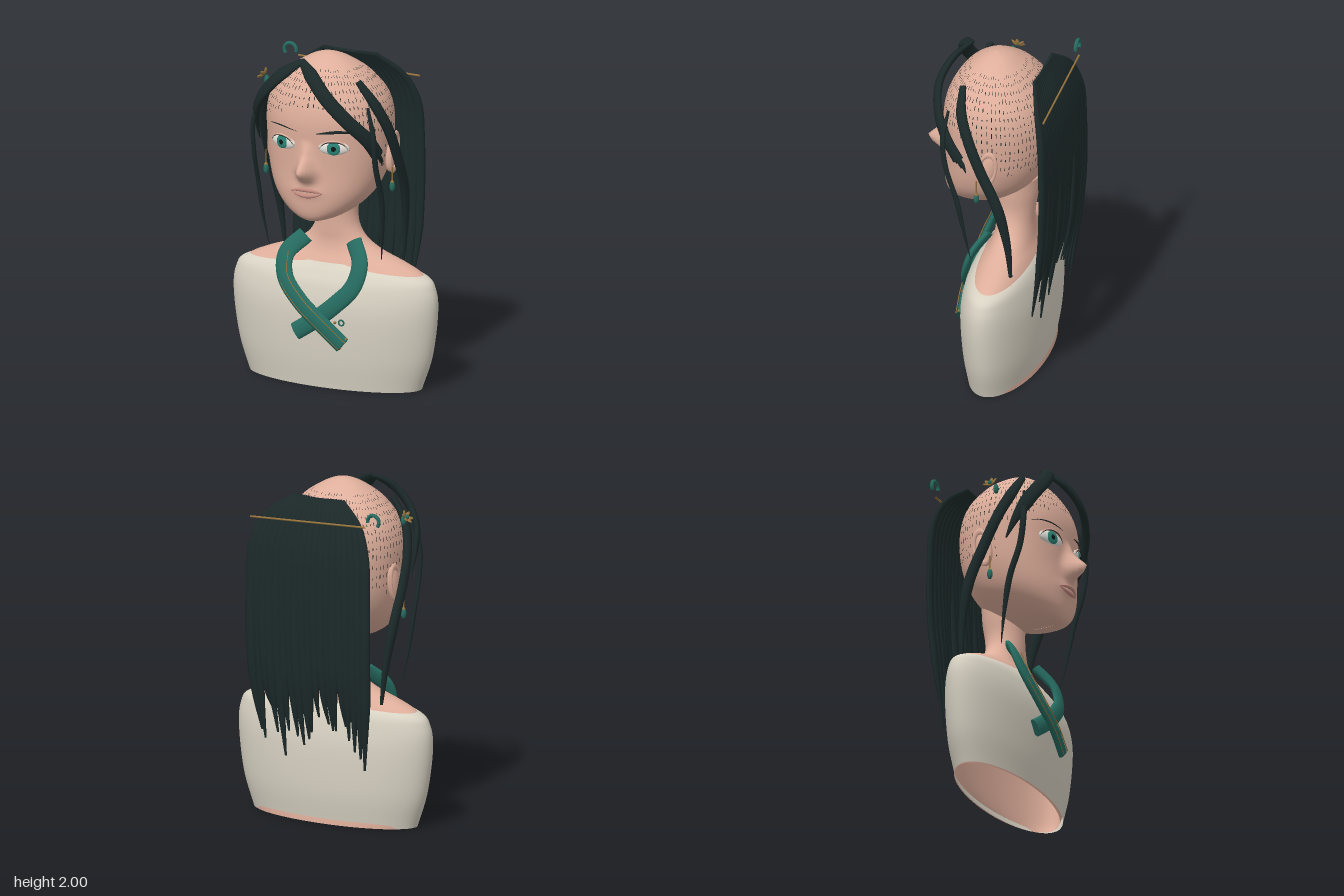
import * as THREE from 'three';

const mat = (name, color, side = THREE.FrontSide) => {
  const m = new THREE.MeshStandardMaterial({ color, side });
  m.name = name;
  return m;
};
const V = (x, y, z) => new THREE.Vector3(x, y, z);

// Closed skin over a list of equally long rings
function skinRings(rings) {
  const n = rings[0].length, pos = [], idx = [];
  rings.forEach(r => r.forEach(p => pos.push(p.x, p.y, p.z)));
  for (let i = 0; i < rings.length - 1; i++) for (let j = 0; j < n; j++) {
    const a = i * n + j, b = i * n + (j + 1) % n;
    idx.push(a, b, a + n, b, b + n, a + n);
  }
  const g = new THREE.BufferGeometry();
  g.setAttribute('position', new THREE.Float32BufferAttribute(pos, 3));
  g.setIndex(idx);
  g.computeVertexNormals();
  return g;
}

// Smooth lookup in rows of [y, half width, front z, back z]
function profile(rows) {
  const f = new THREE.CubicInterpolant(rows.map((_, i) => i), rows.flat(), 4);
  return u => Array.from(f.evaluate(u));
}
const spow = (v, e) => Math.sign(v) * Math.abs(v) ** e;
function sectionPoint([y, w, f, b], a, n, grow = 0) {
  const c = (f + b) / 2, d = (f - b) / 2;
  return V((w + grow) * spow(Math.sin(a), 2 / n), y, c + (d + grow) * spow(Math.cos(a), 2 / n));
}
function loft(rows, steps, segs, n, bump = () => 0) {
  const at = profile(rows), rings = [];
  for (let i = 0; i <= steps; i++) {
    const s = at(i / steps * (rows.length - 1)), ring = [];
    for (let j = 0; j < segs; j++) {
      const a = j / segs * Math.PI * 2, p = sectionPoint(s, a, n);
      if (Math.cos(a) > 0) p.z += bump(p.x, p.y);
      ring.push(p);
    }
    rings.push(ring);
  }
  return skinRings(rings);
}

// Elliptical lock or ribbon along a path; "out" is the direction of its flat side
const radial = p => V(p.x, (p.y - 1.5) * 0.4, p.z + 0.05);
function strand(pts, width, thick, out = radial, taper = () => 1, steps = 36, segs = 10) {
  const curve = new THREE.CatmullRomCurve3(pts), rings = [];
  const ring = (t, k) => {
    const p = curve.getPointAt(t), tan = curve.getTangentAt(t);
    const side = out(p).cross(tan).normalize(), nrm = tan.clone().cross(side);
    return Array.from({ length: segs }, (_, j) => {
      const a = j / segs * Math.PI * 2;
      return p.clone().addScaledVector(side, Math.cos(a) * width * k).addScaledVector(nrm, Math.sin(a) * thick * k);
    });
  };
  rings.push(ring(0, 0), ring(0, taper(0)));
  for (let i = 0; i <= steps; i++) rings.push(ring(i / steps, taper(i / steps)));
  rings.push(ring(1, taper(1)), ring(1, 0));
  return skinRings(rings);
}
const lockTaper = t => Math.min(1, 0.5 + t * 3) * Math.min(1, 0.12 + (1 - t) * 2.6);
const lensTaper = t => 0.15 + 0.85 * Math.sin(t * Math.PI);

const HEAD_N = 2.2;
const HEAD = [
  [1.03, 0.001, 0.2, 0.06], [1.04, 0.07, 0.25, 0], [1.07, 0.15, 0.28, -0.06], [1.13, 0.235, 0.295, -0.15],
  [1.22, 0.305, 0.3, -0.25], [1.35, 0.35, 0.295, -0.315], [1.5, 0.368, 0.298, -0.345], [1.65, 0.37, 0.297, -0.34],
  [1.77, 0.335, 0.265, -0.3], [1.88, 0.245, 0.195, -0.215], [1.95, 0.145, 0.115, -0.125],
  [1.985, 0.07, 0.055, -0.06], [2, 0.001, 0.001, -0.001]];
const BODY = [
  [0, 0.53, 0.1, -0.305], [0.1, 0.565, 0.11, -0.3], [0.45, 0.625, 0.13, -0.315], [0.6, 0.615, 0.105, -0.295],
  [0.68, 0.56, 0.075, -0.275], [0.735, 0.45, 0.045, -0.255], [0.79, 0.3, 0.015, -0.235], [0.85, 0.195, 0, -0.225],
  [0.92, 0.14, 0, -0.222], [1, 0.12, 0, -0.23], [1.1, 0.125, 0, -0.245], [1.2, 0.13, -0.02, -0.25]];
const GARMENT = [
  [0, 0.545, 0.115, -0.297], [0.2, 0.61, 0.14, -0.325], [0.45, 0.645, 0.15, -0.33], [0.6, 0.635, 0.125, -0.31],
  [0.68, 0.568, 0.088, -0.285], [0.735, 0.32, 0.05, -0.255]];

// Nose and lip relief
const NOSE = [[1.53, 0], [1.45, 0.04], [1.37, 0.125], [1.34, 0.112], [1.285, 0.02], [1.25, 0]];
function faceBump(x, y) {
  let h = 0;
  for (let i = 0; i < NOSE.length - 1; i++) {
    const [y0, h0] = NOSE[i], [y1, h1] = NOSE[i + 1];
    if (y <= y0 && y > y1) h = h0 + (h1 - h0) * (y0 - y) / (y0 - y1);
  }
  const w = 0.03 + 0.02 * THREE.MathUtils.clamp((1.5 - y) / 0.15, 0, 1);
  return h * Math.exp(-((x / w) ** 2)) + 0.015 * Math.exp(-((x / 0.08) ** 2) - ((y - 1.23) / 0.035) ** 2);
}
const headAt = profile(HEAD);
function faceZ(x, y) {
  let lo = 0, hi = HEAD.length - 1;
  for (let i = 0; i < 30; i++) { const m = (lo + hi) / 2; if (headAt(m)[0] < y) lo = m; else hi = m; }
  const [, w, f, b] = headAt(lo);
  return (f + b) / 2 + (f - b) / 2 * (1 - Math.min(1, Math.abs(x) / w) ** HEAD_N) ** (1 / HEAD_N) + faceBump(x, y);
}
const onFace = (x, y, lift = 0) => V(x, y, faceZ(x, y) + lift);

export function createModel() {
  const M = {
    skin: mat('skin', 0xdeae9b, THREE.DoubleSide), cloth: mat('ivory cloth', 0xd8d2c3, THREE.DoubleSide),
    hair: mat('dark hair', 0x1c2929, THREE.DoubleSide), teal: mat('teal', 0x266b60), gold: mat('gold', 0x96733c),
    white: mat('eye white', 0xe6e4dc), iris: mat('iris', 0x2c8577), pupil: mat('pupil', 0x0e1616), lips: mat('lips', 0xc48c80),
  };
  const root = new THREE.Group();
  const add = (name, geo, m, pos, parent = root) => {
    const o = new THREE.Mesh(geo, m);
    o.name = name;
    if (pos) o.position.copy(pos);
    parent.add(o);
    return o;
  };
  let seed = 7;
  const rnd = () => (seed = (seed * 16807) % 2147483647) / 2147483647;
  const ball = new THREE.SphereGeometry(1, 24, 16);
  const front = () => V(0, 0.15, 1), flatFront = () => V(0, 0, 1);

  // Bust
  add('neckAndShoulders', loft(BODY, 60, 64, 2), M.skin);
  add('garment', loft(GARMENT, 40, 80, 2), M.cloth);
  add('head', loft(HEAD, 110, 180, HEAD_N, faceBump), M.skin);

  // Lips
  for (const [name, y, bow] of [['upperLip', 1.238, 0.006], ['lowerLip', 1.215, -0.008]]) {
    const pts = [-0.1, -0.05, 0, 0.05, 0.1].map(x => onFace(x, 1.226 + (y + bow - 1.226) * (1 - (x / 0.1) ** 2), 0.002));
    add(name, strand(pts, 0.013, 0.011, flatFront, lensTaper), M.lips);
  }

  for (const s of [-1, 1]) {
    // Eye with iris, pupil and lid line
    const eye = new THREE.Group();
    eye.name = 'eye';
    eye.position.copy(onFace(s * 0.16, 1.505, -0.008));
    eye.rotation.y = s * 0.32;
    root.add(eye);
    add('eyeball', ball, M.white, null, eye).scale.set(0.09, 0.042, 0.022);
    add('iris', ball, M.iris, V(0, 0, 0.017), eye).scale.set(0.041, 0.039, 0.009);
    add('pupil', ball, M.pupil, V(0, 0, 0.022), eye).scale.set(0.018, 0.018, 0.006);
    const lid = [V(-0.092, -0.004, 0.002), V(-0.05, 0.034, 0.014), V(0, 0.044, 0.018), V(0.05, 0.034, 0.014), V(0.092, -0.004, 0.002)];
    add('upperLid', strand(lid, 0.006, 0.008, flatFront, lensTaper, 20, 8), M.skin, null, eye);
    add('lashLine', strand(lid, 0.003, 0.004, flatFront, lensTaper, 20, 6), M.hair, V(0, -0.004, 0.008), eye);

    // Eyebrow
    const brow = [0.06, 0.12, 0.18, 0.24, 0.28].map((x, i) => onFace(s * x, 1.585 + [0, 0.01, 0.017, 0.015, 0.006][i], 0.001));
    add('eyebrow', strand(brow, s > 0 ? 0.009 : 0.004, 0.004, flatFront, lensTaper, 20, 6), M.hair);

    // Ear and drop earring
    const ear = add('ear', ball, M.skin, V(s * 0.372, 1.42, -0.055));
    ear.scale.set(0.028, 0.112, 0.05);
    ear.rotation.x = -0.2;
    const rim = add('earRim', new THREE.TorusGeometry(0.05, 0.01, 8, 32), M.skin, V(s * 0.39, 1.425, -0.06));
    rim.rotation.set(-0.2, Math.PI / 2, 0, 'XYZ');
    rim.scale.y = 2.1;
    add('earringWire', new THREE.CylinderGeometry(0.004, 0.004, 0.09, 8), M.gold, V(s * 0.405, 1.305, 0));
    add('earringCap', new THREE.ConeGeometry(0.012, 0.02, 10), M.gold, V(s * 0.405, 1.27, 0));
    add('earringDrop', ball, M.teal, V(s * 0.405, 1.235, 0)).scale.set(0.016, 0.032, 0.016);

    // Side lock passing over the ear, and thin strand at the cheek
    add('sideLock', strand([V(s * 0.25, 1.88, 0.13), V(s * 0.345, 1.75, 0.11), V(s * 0.4, 1.6, 0.05), V(s * 0.42, 1.42, -0.03),
      V(s * 0.42, 1.2, -0.13), V(s * 0.4, 0.95, -0.185), V(s * 0.38, 0.73, -0.2)], 0.034, 0.026, radial,
      t => Math.min(1, 0.6 + t * 3) * Math.min(1, 0.3 + (1 - t) * 2)), M.hair);
    add('cheekStrand', strand([V(s * 0.34, 1.75, 0.19), V(s * 0.385, 1.58, 0.21), V(s * 0.39, 1.4, 0.19),
      V(s * 0.395, 1.2, 0.125), V(s * 0.385, 1, 0.085), V(s * 0.36, 0.8, 0.05)], 0.018, 0.013, radial, lockTaper), M.hair);
  }

  // Parted front locks
  add('leftFringe', strand([V(-0.09, 1.975, 0.18), V(0.01, 1.92, 0.26), V(0.13, 1.81, 0.31), V(0.25, 1.68, 0.28),
    V(0.34, 1.56, 0.2), V(0.37, 1.45, 0.12)], 0.042, 0.022, radial, t => Math.min(1, 0.5 + t * 3)), M.hair);
  for (let i = 0; i < 3; i++) {
    const d = (i - 1) * 0.028;
    add('leftFringeTip', strand([V(0.345, 1.53 + d, 0.18 + d * 0.6), V(0.375, 1.45 + d, 0.12 + d), V(0.375, 1.4 + d, 0.1 + d)],
      0.014, 0.012, radial, lockTaper, 10, 8), M.hair);
  }
  add('rightFringe', strand([V(-0.08, 1.975, 0.18), V(-0.16, 1.92, 0.25), V(-0.26, 1.82, 0.27), V(-0.345, 1.7, 0.23),
    V(-0.385, 1.57, 0.16), V(-0.395, 1.45, 0.1)], 0.042, 0.022, radial, lockTaper), M.hair);

  // Long hair hanging behind the head
  const back = new THREE.Group();
  back.name = 'backHair';
  root.add(back);
  const count = 19;
  for (let i = 0; i < count; i++) {
    const s = i / (count - 1) * 2 - 1, tip = 0.36 + rnd() * 0.3, sway = (rnd() - 0.5) * 0.05, dz = (rnd() - 0.5) * 0.02;
    add('backStrand', strand([V(s * 0.16, 1.925, -0.275), V(s * 0.31, 1.8, -0.34), V(s * 0.375, 1.64, -0.382), V(s * 0.39, 1.4, -0.395),
      V(s * 0.39, 1.05, -0.39 + dz), V(s * 0.385 + sway * 0.4, 0.75, -0.365 + dz), V(s * 0.37 + sway, tip, -0.325 + dz)],
      0.034, 0.021, () => V(s * 0.15, 0.2, -1), t => Math.min(1, 0.5 + t * 2) * Math.min(1, 0.2 + (1 - t) * 3.2)), M.hair, null, back);
  }

  // Fine hair flecks on the scalp
  const flecks = [];
  for (let c = 0; c < 80; c++) for (let r = 0; r < 13; r++) {
    const a = c / 80 * Math.PI * 2, u = 5 + r * 0.37 + rnd() * 0.1, len = 0.06 + rnd() * 0.16;
    const hairline = Math.cos(a) > 0.1 ? 1.5 + 0.2 * Math.cos(a) : 1.36;
    const y = headAt(u)[0];
    if (y < hairline || y > 1.92) continue;
    const quad = [[u, -1], [u, 1], [u + len, 1], [u + len, -1]].map(([v, k]) => sectionPoint(headAt(v), a + k * 0.006, HEAD_N, 0.003));
    for (const k of [0, 1, 2, 0, 2, 3]) flecks.push(quad[k]);
  }
  const fleckGeo = new THREE.BufferGeometry().setFromPoints(flecks);
  fleckGeo.computeVertexNormals();
  add('scalpFlecks', fleckGeo, M.hair);

  // Crossed scarf with gold piping
  const over = [V(-0.15, 0.87, 0), V(-0.235, 0.77, 0.08), V(-0.22, 0.65, 0.13), V(-0.11, 0.52, 0.165), V(0.04, 0.4, 0.18), V(0.17, 0.29, 0.172)];
  const under = [V(0.16, 0.87, 0), V(0.235, 0.76, 0.08), V(0.21, 0.63, 0.125), V(0.11, 0.52, 0.15), V(-0.01, 0.42, 0.155), V(-0.14, 0.33, 0.155)];
  add('scarfUnder', strand(under, 0.052, 0.022, front, () => 1, 40, 20), M.teal);
  add('scarfOver', strand(over, 0.052, 0.022, front, () => 1, 40, 20), M.teal);
  for (const k of [-1, 1])
    add('scarfPiping', strand(over.slice(1).map(p => p.clone().add(V(k * 0.022, k * 0.022, 0.02))), 0.003, 0.003, front, () => 1, 40, 6), M.gold);
  add('scarfRing', new THREE.TorusGeometry(0.016, 0.005, 8, 20), M.teal, V(0.155, 0.42, 0.16));
  for (const [x, y] of [[0.19, 0.33], [0.15, 0.27], [0.12, 0.42]]) add('scarfBead', ball, M.gold, V(x, y, 0.172)).scale.setScalar(0.009);

  // Hairpin with a hooked end
  const pin = [V(-0.38, 1.82, -0.36), V(0.39, 1.79, -0.385)].map(p => p.add(V(0, 0, -0.012)));
  add('hairpin', new THREE.TubeGeometry(new THREE.LineCurve3(...pin), 1, 0.006, 8), M.gold);
  add('hairpinHook', new THREE.TorusGeometry(0.038, 0.011, 10, 28, Math.PI * 1.3), M.teal, V(-0.42, 1.855, -0.35)).rotation.z = -0.25;

  // Flower ornament at the right temple
  const flower = new THREE.Group();
  flower.name = 'hairFlower';
  flower.position.set(-0.41, 1.8, 0.01);
  flower.rotation.z = 0.9;
  root.add(flower);
  for (let i = 0; i < 6; i++) {
    const a = i / 6 * Math.PI * 2;
    const petal = add('petal', ball, M.gold, V(Math.cos(a) * 0.024, 0.012, Math.sin(a) * 0.024), flower);
    petal.scale.set(0.022, 0.006, 0.011);
    petal.rotation.set(0, -a, 0.5);
  }
  add('flowerBead', ball, M.teal, V(0, 0.012, 0), flower).scale.setScalar(0.015);
  add('flowerDrop', ball, M.teal, V(-0.385, 1.78, 0.03)).scale.set(0.016, 0.03, 0.016);
  return root;
}
